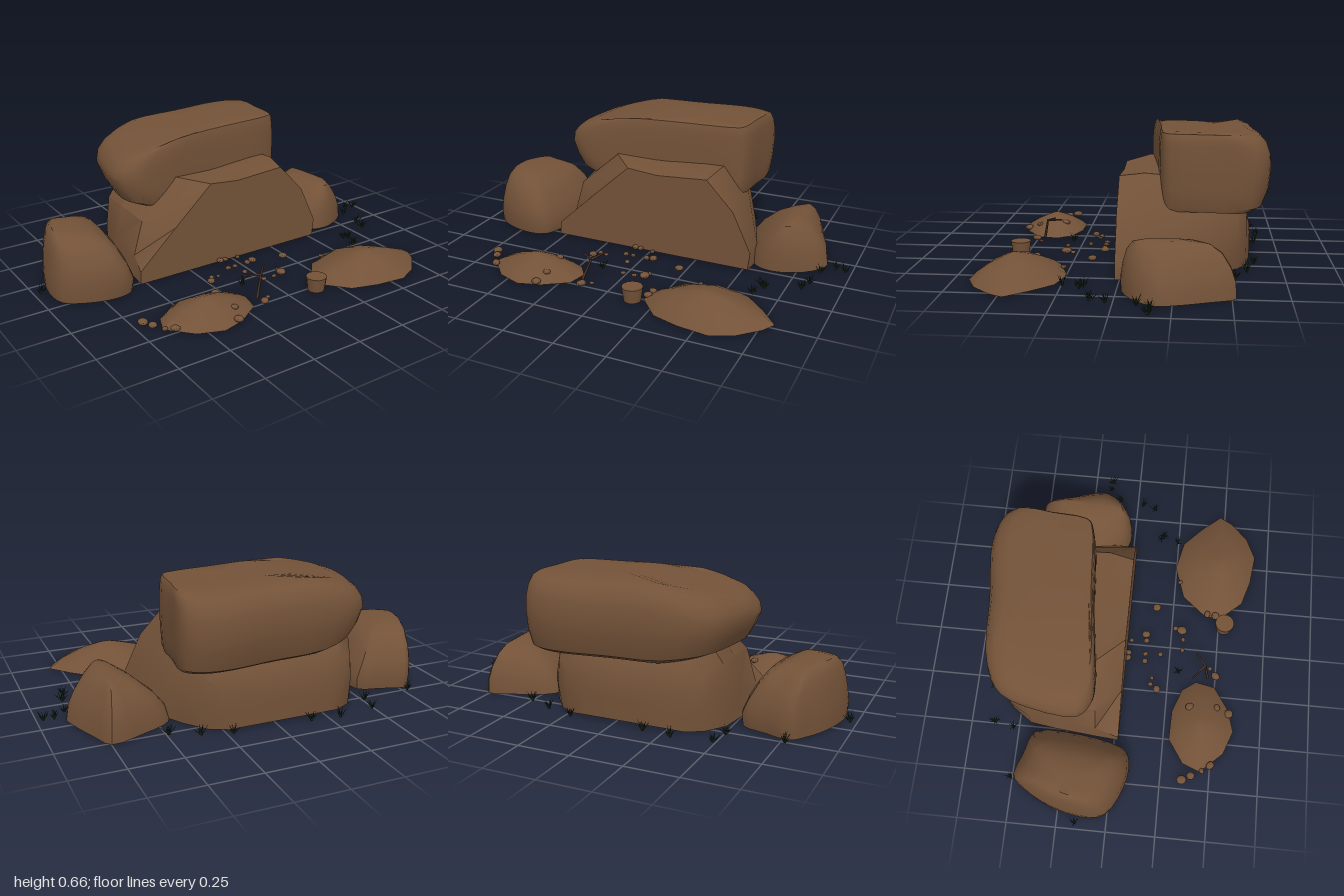
import * as THREE from 'three';
import { mergeGeometries, toCreasedNormals } from 'three/addons/utils/BufferGeometryUtils.js';

const V = (x, y, z) => new THREE.Vector3(x, y, z);

function seeded(seed) {
  return () => (seed = (seed * 16807) % 2147483647) / 2147483647;
}

// Skin over equal-sized rings, with optional cap on the first ring
function loft(rings, closed, capStart, crease) {
  const n = rings[0].length, pts = rings.flat(), index = [];
  for (let i = 0; i < rings.length - 1; i++) {
    for (let j = 0; j < (closed ? n : n - 1); j++) {
      const k = (j + 1) % n, a = i * n, b = a + n;
      index.push(a + j, a + k, b + j, a + k, b + k, b + j);
    }
  }
  const cap = (start, flip) => {
    const c = V(0, 0, 0);
    for (let j = 0; j < n; j++) c.add(pts[start + j]);
    pts.push(c.divideScalar(n));
    for (let j = 0; j < n; j++) {
      const p = start + j, q = start + (j + 1) % n;
      index.push(pts.length - 1, flip ? q : p, flip ? p : q);
    }
  };
  if (capStart) cap(0, true);
  cap((rings.length - 1) * n, false);
  const g = new THREE.BufferGeometry().setFromPoints(pts);
  g.setIndex(index);
  return toCreasedNormals(g, crease);
}

// Rock from a plan outline [x, z] and levels [y, scaleX, scaleZ] about a pivot
function rock(outline, [px, pz], levels, { smooth = 0, capStart = false, height = (x, y) => y } = {}) {
  let plan = outline.map(([x, z]) => new THREE.Vector2(x, z));
  if (!THREE.ShapeUtils.isClockWise(plan)) plan.reverse();
  if (smooth) {
    const curve = new THREE.CatmullRomCurve3(plan.map(p => V(p.x, 0, p.y)), true, 'centripetal');
    plan = curve.getPoints(smooth).slice(0, smooth).map(p => new THREE.Vector2(p.x, p.z));
  }
  const rings = levels.map(([y, sx, sz]) => plan.map(p => {
    const x = px + (p.x - px) * sx;
    return V(x, height(x, y), pz + (p.y - pz) * sz);
  }));
  return loft(rings, true, capStart, 0.6);
}

export function createModel() {
  const model = new THREE.Group();
  const mat = (name, color) => new THREE.MeshStandardMaterial({ name, color, side: THREE.DoubleSide });
  const stone = mat('brown stone', 0x735238);
  const wood = mat('dark wood', 0x4a3324);
  const grass = mat('dark grass', 0x1f2f1c);
  const add = (name, geometry, material, parent = model) => {
    const m = new THREE.Mesh(geometry, material);
    m.name = name;
    parent.add(m);
    return m;
  };

  // Main block: arched sections running from the flat front to the rounded back, open below
  const sections = [
    [0.02, [[-0.53, 0], [-0.53, 0.065], [-0.33, 0.25], [-0.125, 0.435], [0.035, 0.42], [0.3, 0.437], [0.44, 0.29], [0.535, 0.09], [0.525, 0]]],
    [-0.1, [[-0.52, 0], [-0.5, 0.1], [-0.45, 0.27], [-0.24, 0.455], [0.03, 0.44], [0.32, 0.455], [0.43, 0.29], [0.53, 0.1], [0.54, 0]]],
    [-0.3, [[-0.5, 0], [-0.49, 0.13], [-0.46, 0.29], [-0.34, 0.44], [0, 0.44], [0.32, 0.44], [0.41, 0.29], [0.46, 0.12], [0.47, 0]]],
    [-0.44, [[-0.48, 0], [-0.48, 0.14], [-0.46, 0.29], [-0.38, 0.4], [0, 0.41], [0.3, 0.4], [0.37, 0.28], [0.4, 0.12], [0.39, 0]]],
    [-0.54, [[-0.41, 0], [-0.42, 0.13], [-0.41, 0.24], [-0.35, 0.31], [0, 0.32], [0.26, 0.31], [0.32, 0.24], [0.33, 0.12], [0.31, 0]]],
    [-0.58, [[-0.33, 0], [-0.35, 0.1], [-0.34, 0.19], [-0.28, 0.24], [0, 0.25], [0.2, 0.24], [0.25, 0.19], [0.26, 0.1], [0.23, 0]]],
    [-0.6, [[-0.24, 0.01], [-0.25, 0.08], [-0.24, 0.14], [-0.19, 0.175], [-0.02, 0.18], [0.11, 0.175], [0.15, 0.14], [0.16, 0.08], [0.14, 0.01]]],
  ];
  add('mainBlock', loft(sections.map(([z, p]) => p.map(([x, y]) => V(x, y, z))), false, true, 0.6), stone);

  // Overhanging slab on top, its left end drooping above and lifted below
  const slabHeight = (x, y) => {
    const left = Math.max(0, -0.2 - x);
    return y + (y > 0.48 ? -0.21 * left * (y - 0.48) / 0.17 : 0.16 * left * (0.48 - y) / 0.18);
  };
  add('topSlab', rock(
    [[-0.54, -0.17], [-0.48, -0.115], [-0.4, -0.1], [0, -0.145], [0.36, -0.18], [0.415, -0.21], [0.44, -0.42],
      [0.45, -0.6], [0.39, -0.66], [0.26, -0.685], [0, -0.655], [-0.33, -0.625], [-0.46, -0.55], [-0.52, -0.4]],
    [0.3, -0.22],
    [[0.292, 0.5, 0.5], [0.295, 0.87, 0.84], [0.315, 0.93, 0.92], [0.39, 0.97, 0.98], [0.48, 1, 1], [0.55, 0.99, 0.99],
      [0.6, 0.96, 0.95], [0.635, 0.92, 0.88], [0.65, 0.84, 0.78], [0.655, 0.45, 0.45]],
    { smooth: 44, capStart: true, height: slabHeight }), stone);

  // Boulders on each side, open below
  add('rightBoulder', rock(
    [[-0.78, -0.485], [-0.65, -0.45], [-0.54, -0.41], [-0.53, -0.2], [-0.565, 0], [-0.6, 0.07], [-0.68, 0.09],
      [-0.8, 0.065], [-0.92, -0.01], [-0.94, -0.12], [-0.9, -0.3], [-0.83, -0.43]],
    [-0.85, -0.2],
    [[0, 0.98, 0.97], [0.06, 1, 1], [0.13, 0.91, 0.97], [0.2, 0.79, 0.87], [0.255, 0.66, 0.71], [0.285, 0.48, 0.51], [0.296, 0.3, 0.3]],
    { smooth: 32 }), stone);
  add('leftBoulder', rock(
    [[0.75, -0.525], [0.6, -0.48], [0.45, -0.4], [0.43, -0.32], [0.5, -0.1], [0.57, -0.03], [0.66, -0.015],
      [0.8, -0.08], [0.87, -0.18], [0.86, -0.25], [0.8, -0.42]],
    [0.7, -0.18],
    [[0, 1, 0.98], [0.07, 0.93, 0.97], [0.13, 0.76, 0.91], [0.19, 0.5, 0.8], [0.225, 0.27, 0.65], [0.237, 0.12, 0.38]],
    { smooth: 32 }), stone);

  // Low earth mounds in front
  const moundLevels = h => [[0, 1, 1], [0.3 * h, 0.83, 0.83], [0.62 * h, 0.55, 0.55], [0.88 * h, 0.24, 0.24], [h, 0.06, 0.06]];
  add('smallMound', rock(
    [[-0.655, 0.45], [-0.62, 0.36], [-0.5, 0.28], [-0.35, 0.285], [-0.23, 0.33], [-0.18, 0.4], [-0.2, 0.5],
      [-0.32, 0.58], [-0.43, 0.61], [-0.55, 0.565]], [-0.42, 0.44], moundLevels(0.088), { capStart: true }), stone);
  add('largeMound', rock(
    [[0.185, 0.5], [0.2, 0.42], [0.3, 0.3], [0.47, 0.245], [0.62, 0.28], [0.72, 0.375], [0.805, 0.475], [0.77, 0.54],
      [0.68, 0.63], [0.57, 0.68], [0.42, 0.66], [0.29, 0.62]], [0.48, 0.49], moundLevels(0.105), { capStart: true }), stone);

  // Stump
  const stump = add('stump', new THREE.CylinderGeometry(0.05, 0.041, 0.07, 14), stone);
  stump.position.set(0.142, 0.035, 0.528);

  // Forked twig
  const twig = new THREE.Group();
  twig.name = 'twig';
  model.add(twig);
  const stick = (a, b, r) => {
    const d = b.clone().sub(a);
    const m = add('stick', new THREE.CylinderGeometry(r * 0.7, r, d.length(), 6), wood, twig);
    m.position.copy(a).addScaledVector(d, 0.5);
    m.quaternion.setFromUnitVectors(V(0, 1, 0), d.normalize());
  };
  const fork = V(-0.118, 0.113, 0.437);
  stick(V(-0.155, 0.01, 0.46), fork, 0.007);
  stick(fork, V(-0.07, 0.137, 0.39), 0.006);
  stick(fork, V(-0.19, 0.1, 0.375), 0.006);

  // Scattered pebbles [x, z, radius, base height]
  const rand = seeded(71);
  const pebbles = new THREE.Group();
  pebbles.name = 'pebbles';
  model.add(pebbles);
  for (const [x, z, r, y = 0] of [
    [-0.08, 0.03, 0.018], [-0.05, 0.03, 0.014], [0.02, 0.04, 0.013], [0.025, 0.12, 0.016], [0.06, 0.115, 0.019],
    [-0.09, 0.12, 0.014], [-0.05, 0.12, 0.013], [0.22, 0.16, 0.019], [-0.215, 0.16, 0.014], [-0.24, 0.195, 0.019],
    [-0.18, 0.165, 0.011], [-0.045, 0.2, 0.014], [0.11, 0.27, 0.012], [0.1, 0.305, 0.022], [-0.01, 0.315, 0.013],
    [0.05, 0.315, 0.012], [-0.14, 0.5, 0.02], [-0.1, 0.47, 0.01], [-0.705, 0.36, 0.022], [-0.68, 0.405, 0.019],
    [-0.62, 0.5, 0.02, 0.01], [-0.65, 0.46, 0.014], [-0.33, 0.375, 0.02, 0.04], [-0.32, 0.515, 0.018, 0.03],
    [-0.34, 0.58, 0.02, 0.005], [0.2, 0.48, 0.018, 0.005], [0.205, 0.435, 0.018, 0.005], [0.38, 0.275, 0.012, 0.005],
  ]) {
    const p = add('pebble', toCreasedNormals(new THREE.IcosahedronGeometry(r, 1), 0.5), stone, pebbles);
    p.scale.set(0.85 + rand() * 0.4, 0.7, 0.85 + rand() * 0.4);
    p.rotation.y = rand() * 6;
    p.position.set(x, y + r * 0.6, z);
  }

  // Grass tufts: narrow blades fanning out from one root
  const tufts = new THREE.Group();
  tufts.name = 'grassTufts';
  model.add(tufts);
  for (const [x, z] of [
    [-0.49, -0.63], [-0.51, -0.53], [-0.3, -0.66], [-0.77, -0.51], [-0.97, -0.16], [0.49, -0.52], [0.86, -0.1],
    [0.92, -0.16], [0.97, -0.155], [0.84, 0.03], [0.82, 0.1], [0.64, 0.15], [0.66, 0.165], [0.625, 0.245], [-0.13, 0.3],
    [0.36, -0.58], [0.22, -0.62], [-0.16, -0.64],
  ]) {
    const blades = [];
    for (let i = 0; i < 10; i++) {
      const h = 0.034 + rand() * 0.026;
      blades.push(new THREE.ConeGeometry(0.0045, h, 3).translate(0, h / 2, 0)
        .rotateZ(0.15 + rand() * 0.75).rotateY(i * 0.63 + rand() * 0.5));
    }
    add('grassTuft', mergeGeometries(blades), grass, tufts).position.set(x, 0, z);
  }
  return model;
}
